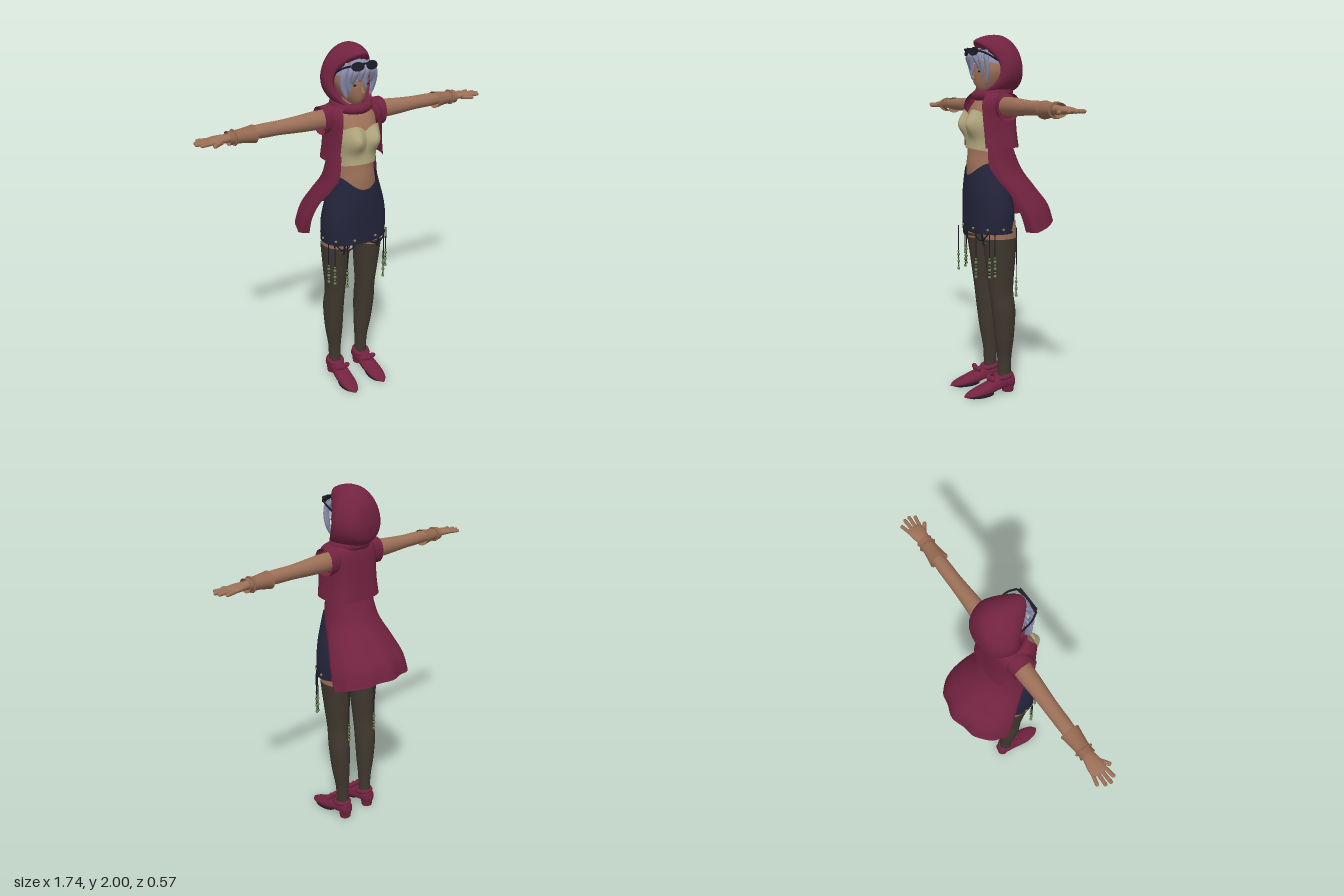
import * as THREE from 'three';
import { ParametricGeometry } from 'three/addons/geometries/ParametricGeometry.js';

const mat = (name, color, double) => {
  const m = new THREE.MeshStandardMaterial({ color });
  m.name = name;
  if (double) m.side = THREE.DoubleSide;
  return m;
};

// Smooth interpolation through a list of equally long number rows
function rowAt(rows, v) {
  const n = rows.length - 1, s = v * n, i = Math.min(n - 1, Math.floor(s)), t = s - i;
  const g = k => rows[Math.max(0, Math.min(n, k))];
  return rows[i].map((b, k) => {
    const a = g(i - 1)[k], c = g(i + 1)[k], d = g(i + 2)[k];
    return b + 0.5 * t * (c - a + t * (2 * a - 5 * b + 4 * c - d + t * (3 * (b - c) + d - a)));
  });
}

// Rows go upwards: [y, cx, cz, rx, rzFront, rzBack = rzFront, openingHalfAngle = 0]
function loft(sections, { n = 28, e = 1, warp } = {}) {
  const rows = sections.map(([y, cx, cz, rx, rf, rb = rf, a0 = 0]) => [y, cx, cz, rx, rf, rb, a0]);
  const pw = s => Math.sign(s) * Math.pow(Math.abs(s), e);
  return new ParametricGeometry((u, v, p) => {
    const [y, cx, cz, rx, rf, rb, a0] = rowAt(rows, v);
    const a = a0 + u * (2 * Math.PI - 2 * a0);
    const c = pw(Math.cos(a));
    p.set(cx + rx * pw(Math.sin(a)), y, cz + (c > 0 ? rf : rb) * c);
    if (warp) warp(p, a, v);
  }, n, (rows.length - 1) * 5);
}

// Tapered lock following a curve
function lock(points, r) {
  const curve = new THREE.CatmullRomCurve3(points.map(q => new THREE.Vector3(...q)));
  return new ParametricGeometry((u, v, p) => {
    const w = r * Math.sqrt(Math.max(0.002, Math.sin(Math.PI * (0.2 + 0.795 * v))));
    curve.getPoint(v, p);
    p.x += w * Math.cos(u * 2 * Math.PI);
    p.z += 0.5 * w * Math.sin(u * 2 * Math.PI);
  }, 8, 10);
}

const tube = (pts, r) => new THREE.TubeGeometry(
  new THREE.CatmullRomCurve3(pts.map(q => new THREE.Vector3(...q))), 12, r, 6);
const ball = (r, x, y, z, sx = 1, sy = 1, sz = 1) =>
  new THREE.SphereGeometry(r, 16, 12).scale(sx, sy, sz).translate(x, y, z);

function mirrored(geo) {
  const g = geo.clone().scale(-1, 1, 1), ix = g.index.array;
  for (let i = 0; i < ix.length; i += 3) [ix[i], ix[i + 1]] = [ix[i + 1], ix[i]];
  return g;
}

export function createModel() {
  const root = new THREE.Group();
  root.name = 'hoodedWoman';
  const red = mat('red cloth', 0x722340, true), skin = mat('skin', 0x9c7058);
  const cream = mat('cream cloth', 0xb3a87e, true), navy = mat('navy cloth', 0x23243a, true);
  const stocking = mat('stocking', 0x3f382f), hairMat = mat('hair', 0x8a8cab, true);
  const black = mat('black', 0x1b1c24), green = mat('green beads', 0x6a8055);
  const gold = mat('brass', 0x8f7c48), leather = mat('tan leather', 0x936850, true);

  const add = (name, geo, m) => {
    const mesh = new THREE.Mesh(geo, m);
    mesh.name = name;
    root.add(mesh);
  };
  const pair = (name, geo, m) => {
    add(name + 'Left', geo, m);
    add(name + 'Right', mirrored(geo), m);
  };

  // Torso and neck
  const bust = k => p => {
    if (p.z < 0.08) return;
    const d = ((Math.abs(p.x) - 0.06) / 0.045) ** 2 + ((p.y - 1.52) / 0.06) ** 2;
    p.z += k * Math.exp(-d);
  };
  add('torso', loft([
    [1.2, 0, 0.09, 0.13, 0.11, 0.09], [1.3, 0, 0.09, 0.112, 0.115, 0.08], [1.38, 0, 0.085, 0.104, 0.113, 0.08],
    [1.48, 0, 0.08, 0.115, 0.115, 0.09], [1.58, 0, 0.07, 0.13, 0.115, 0.09], [1.645, 0, 0.05, 0.125, 0.1, 0.07],
    [1.68, 0, 0.05, 0.06, 0.06, 0.05], [1.75, 0, 0.06, 0.045, 0.045]], { warp: bust(0.03) }), skin);
  add('bustier', loft([
    [1.37, 0, 0.085, 0.111, 0.122, 0.09], [1.44, 0, 0.083, 0.115, 0.122, 0.09],
    [1.52, 0, 0.08, 0.13, 0.128, 0.1], [1.585, 0, 0.07, 0.136, 0.128, 0.1]], {
    n: 64, e: 0.9, warp: (p, a, v) => {
      bust(0.042)(p);
      const x = Math.abs(p.x);
      p.y += 0.025 * Math.max(0, Math.cos(a)) * (1 - v) ** 3;
      if (Math.cos(a) > 0) p.y += v ** 4 * (0.02 - 9 * (x - 0.06) ** 2);
    } }), cream);

  // Skirt with dipped waist, hem band and studs
  add('skirt', loft([
    [0.94, 0, 0.085, 0.19, 0.125], [1.04, 0, 0.085, 0.192, 0.127], [1.14, 0, 0.087, 0.175, 0.128, 0.115],
    [1.24, 0, 0.09, 0.143, 0.124, 0.1], [1.32, 0, 0.09, 0.119, 0.121, 0.088]], {
    n: 40, e: 0.9, warp: (p, a, v) => { p.y -= 0.07 * v ** 3 * Math.max(0, Math.cos(a)) ** 3; } }), navy);
  add('hemBand', loft([[0.935, 0, 0.085, 0.192, 0.127], [0.948, 0, 0.085, 0.193, 0.128]], { n: 40, e: 0.9 }), navy);
  for (let i = 0; i < 10; i++) {
    const a = (i + 0.5) * Math.PI / 5, s = Math.sin(a), c = Math.cos(a);
    add('hemStud', ball(0.007, 0.194 * Math.sign(s) * Math.abs(s) ** 0.9, 0.962,
      0.085 + 0.129 * Math.sign(c) * Math.abs(c) ** 0.9), gold);
  }

  // Beaded cords
  for (const [x, z, len] of [[0.19, 0.135, 0.24], [0.162, 0.155, 0.25], [0.118, 0.216, 0.25], [0.1, -0.042, 0.39]]) {
    pair('cord', new THREE.CylinderGeometry(0.003, 0.003, len, 6).translate(x, 0.95 - len / 2, z), black);
    for (let k = 0; k < 6; k++)
      pair('bead', new THREE.SphereGeometry(k % 2 ? 0.006 : 0.009, 8, 6).translate(x, 0.95 - len + k * 0.02, z), green);
  }
  pair('hemLoop', tube([[0.04, 0.945, 0.19], [0.07, 0.905, 0.185], [0.12, 0.9, 0.18], [0.165, 0.945, 0.16]], 0.004), black);
  pair('garterStrap', tube([[0.11, 0.97, 0.175], [0.11, 0.92, 0.174], [0.11, 0.87, 0.162]], 0.006), black);

  // Legs
  pair('thigh', loft([[0.88, 0.105, 0.066, 0.074, 0.096], [0.94, 0.105, 0.068, 0.076, 0.098],
    [1, 0.105, 0.07, 0.074, 0.095]]), skin);
  pair('stocking', loft([
    [0.06, 0.092, 0.03, 0.034, 0.038], [0.2, 0.093, 0.03, 0.036, 0.041], [0.33, 0.1, 0.034, 0.05, 0.056],
    [0.48, 0.105, 0.04, 0.057, 0.068], [0.6, 0.102, 0.054, 0.054, 0.07], [0.75, 0.103, 0.06, 0.067, 0.084],
    [0.905, 0.106, 0.065, 0.077, 0.1]]), stocking);

  // Shoes: lofted heel to toe, then laid along z
  pair('shoe', loft([
    [-0.028, 0.092, -0.06, 0.01, 0.01], [-0.02, 0.092, -0.06, 0.034, 0.035, 0.04],
    [0.03, 0.092, -0.06, 0.042, 0.033, 0.046], [0.08, 0.093, -0.05, 0.044, 0.03, 0.05],
    [0.13, 0.095, -0.036, 0.048, 0.028, 0.038], [0.2, 0.097, -0.024, 0.046, 0.02, 0.024],
    [0.255, 0.098, -0.014, 0.03, 0.011, 0.014], [0.282, 0.098, -0.01, 0.004, 0.004]],
    { e: 0.85 }).rotateX(Math.PI / 2), red);
  pair('heel', new THREE.CylinderGeometry(0.037, 0.032, 0.04, 16).translate(0.092, 0.02, 0.007), red);
  pair('sole', new THREE.CylinderGeometry(1, 1, 0.008, 24).scale(0.043, 1, 0.08).translate(0.097, 0.004, 0.18), black);
  pair('shoeCuff', new THREE.TorusGeometry(0.038, 0.014, 8, 24).rotateX(Math.PI / 2 + 0.15).scale(1, 1, 1.15)
    .translate(0.092, 0.095, 0.035), red);
  pair('shoeKnot', ball(0.016, 0.093, 0.092, 0.125), red);
  for (const s of [-1, 1]) pair('shoeBow', ball(0.02, 0.093 + s * 0.026, 0.094, 0.12, 1.2, 0.8, 0.7), red);

  // Arms, wrist cuffs and hands, lofted then laid along x
  const along = (rows, o) => loft(rows, o).rotateZ(-Math.PI / 2);
  pair('arm', along([
    [0.12, -1.622, 0.045, 0.05, 0.05], [0.22, -1.622, 0.045, 0.049, 0.047], [0.32, -1.62, 0.045, 0.043, 0.042],
    [0.42, -1.62, 0.043, 0.037, 0.038], [0.52, -1.62, 0.043, 0.036, 0.037], [0.62, -1.618, 0.043, 0.028, 0.03],
    [0.7, -1.616, 0.045, 0.021, 0.028]]), skin);
  pair('wristCuff', along([
    [0.558, -1.614, 0.045, 0.046, 0.052], [0.572, -1.614, 0.045, 0.044, 0.049], [0.62, -1.615, 0.045, 0.036, 0.042],
    [0.67, -1.615, 0.045, 0.034, 0.037], [0.7, -1.615, 0.045, 0.036, 0.042]]), leather);
  pair('cuffBand', new THREE.TorusGeometry(0.037, 0.005, 6, 24).rotateY(Math.PI / 2).scale(1, 1, 1.13)
    .translate(0.668, 1.615, 0.045), leather);
  pair('palm', along([
    [0.68, -1.616, 0.045, 0.019, 0.026], [0.72, -1.617, 0.045, 0.02, 0.036], [0.76, -1.617, 0.043, 0.018, 0.043],
    [0.795, -1.615, 0.042, 0.013, 0.04], [0.803, -1.615, 0.042, 0.002, 0.02]]), skin);
  for (const [z, z2, tip] of [[0.01, -0.004, 0.845], [0.032, 0.028, 0.867], [0.053, 0.056, 0.872], [0.074, 0.084, 0.855]])
    pair('finger', new THREE.CapsuleGeometry(0.0095, tip - 0.79, 4, 10).rotateZ(Math.PI / 2)
      .rotateY(-Math.atan2(z2 - z, tip - 0.79)).translate((tip + 0.77) / 2, 1.614, (z + z2) / 2), skin);
  pair('thumb', new THREE.CapsuleGeometry(0.011, 0.055, 4, 10).rotateZ(Math.PI / 2).rotateY(-0.6)
    .translate(0.765, 1.609, 0.088), skin);

  // Short open jacket with sleeves
  add('jacket', loft([
    [1.4, 0, 0.05, 0.163, 0.165, 0.115, 0.92], [1.48, 0, 0.05, 0.153, 0.165, 0.105, 0.9],
    [1.56, 0, 0.05, 0.15, 0.165, 0.098, 0.85], [1.64, 0, 0.05, 0.155, 0.15, 0.09, 0.72],
    [1.685, 0, 0.05, 0.135, 0.115, 0.075, 0.72], [1.7, 0, 0.05, 0.07, 0.09, 0.05, 0.72]], { n: 48, e: 0.72 }), red);
  pair('sleeve', along([
    [0.09, -1.63, 0.045, 0.06, 0.06], [0.135, -1.625, 0.046, 0.068, 0.064], [0.165, -1.621, 0.05, 0.071, 0.066],
    [0.188, -1.62, 0.053, 0.073, 0.067]], { e: 0.85 }), red);

  // Flared coat tail, open at the front, hem lifted at the back
  add('coatTail', loft([
    [0.94, 0, -0.1, 0.25, 0.1, 0.18, 1.0], [1.05, 0, -0.06, 0.236, 0.11, 0.195, 1.08],
    [1.16, 0, -0.01, 0.2, 0.12, 0.172, 1.1], [1.28, 0, 0.045, 0.155, 0.14, 0.145, 0.92],
    [1.43, 0, 0.055, 0.135, 0.13, 0.09, 0.9]], {
    n: 64, warp: (p, a, v) => {
      const w = (1 - v) ** 2, b = Math.max(0, -Math.cos(a));
      p.y += 0.055 * w * b;
      p.x *= 1 + 0.02 * w * Math.cos(a * 9);
      p.z += 0.008 * w * Math.cos(a * 9) * b;
    } }), red);

  // Hood, rows from rim to back: [z, cy, rx, ry, rim curve weight]
  const hoodRows = [
    [0.105, 1.815, 0.098, 0.125, 1], [0.118, 1.822, 0.118, 0.148, 1], [0.07, 1.832, 0.137, 0.165, 0.55],
    [0.01, 1.838, 0.141, 0.162, 0.1], [-0.05, 1.832, 0.12, 0.135, 0], [-0.088, 1.82, 0.08, 0.09, 0],
    [-0.104, 1.81, 0.003, 0.003, 0]];
  add('hood', new ParametricGeometry((u, v, p) => {
    const [z, cy, rx, ry, w] = rowAt(hoodRows, v), a = -2 * Math.PI * u, s = Math.sin(a);
    p.set(rx * Math.cos(a) * (1 - 0.13 * s), cy + ry * s, z + w * (0.1 * s * s - 0.055));
  }, 40, 30), red);
  add('collar', new THREE.TorusGeometry(0.088, 0.027, 12, 36).rotateX(Math.PI / 2 + 0.12).translate(0, 1.688, 0.058), red);

  // Head with tapered jaw, and face
  const head = new THREE.SphereGeometry(1, 32, 24), hp = head.attributes.position;
  for (let i = 0; i < hp.count; i++) {
    const y = hp.getY(i), t = Math.max(0, -y);
    hp.setXYZ(i, hp.getX(i) * 0.084 * (1 - 0.3 * t), 1.802 + y * 0.114, 0.06 + hp.getZ(i) * 0.104 + 0.035 * t * t);
  }
  head.computeVertexNormals();
  add('head', head, skin);
  add('nose', new THREE.ConeGeometry(0.011, 0.042, 8).rotateX(-0.3).translate(0, 1.787, 0.167), skin);
  add('mouth', ball(0.016, 0, 1.744, 0.151, 1, 0.28, 0.4), leather);
  pair('eye', ball(0.013, 0.034, 1.806, 0.153, 1.1, 0.42, 0.35), black);
  pair('brow', tube([[0.017, 1.826, 0.163], [0.035, 1.831, 0.157], [0.053, 1.825, 0.145]], 0.003), hairMat);

  // Hair cap and locks
  add('hairCap', new THREE.SphereGeometry(1, 28, 14, 0, Math.PI * 2, 0, 1.35).scale(0.094, 0.112, 0.112)
    .rotateX(-0.2).translate(0, 1.82, 0.06), hairMat);
  pair('sideLock', lock([[0.055, 1.92, 0.12], [0.088, 1.87, 0.135], [0.09, 1.8, 0.13], [0.07, 1.735, 0.13]], 0.022), hairMat);
  pair('cheekLock', lock([[0.035, 1.92, 0.14], [0.066, 1.88, 0.165], [0.075, 1.82, 0.155], [0.062, 1.765, 0.15]], 0.016), hairMat);
  pair('fringe', lock([[0.02, 1.93, 0.14], [0.038, 1.89, 0.185], [0.052, 1.85, 0.175], [0.055, 1.815, 0.16]], 0.018), hairMat);
  add('fringeRight', lock([[0, 1.93, 0.14], [-0.012, 1.89, 0.19], [-0.022, 1.85, 0.182], [-0.02, 1.825, 0.175]], 0.018), hairMat);
  add('fringeCentre', lock([[0.01, 1.93, 0.14], [0.012, 1.89, 0.19], [0.006, 1.84, 0.185], [0.014, 1.785, 0.178]], 0.015), hairMat);

  // Sunglasses pushed up on the head
  pair('lens', new THREE.CylinderGeometry(1, 1, 0.009, 24).rotateX(Math.PI / 2).scale(0.034, 0.023, 1)
    .rotateX(-0.35).rotateY(0.2).translate(0.042, 1.91, 0.188), black);
  add('glassesBridge', new THREE.BoxGeometry(0.13, 0.01, 0.012).rotateX(-0.35).translate(0, 1.921, 0.19), black);
  pair('temple', tube([[0.074, 1.915, 0.18], [0.094, 1.9, 0.14], [0.096, 1.86, 0.06]], 0.005), black);

  return root;
}
